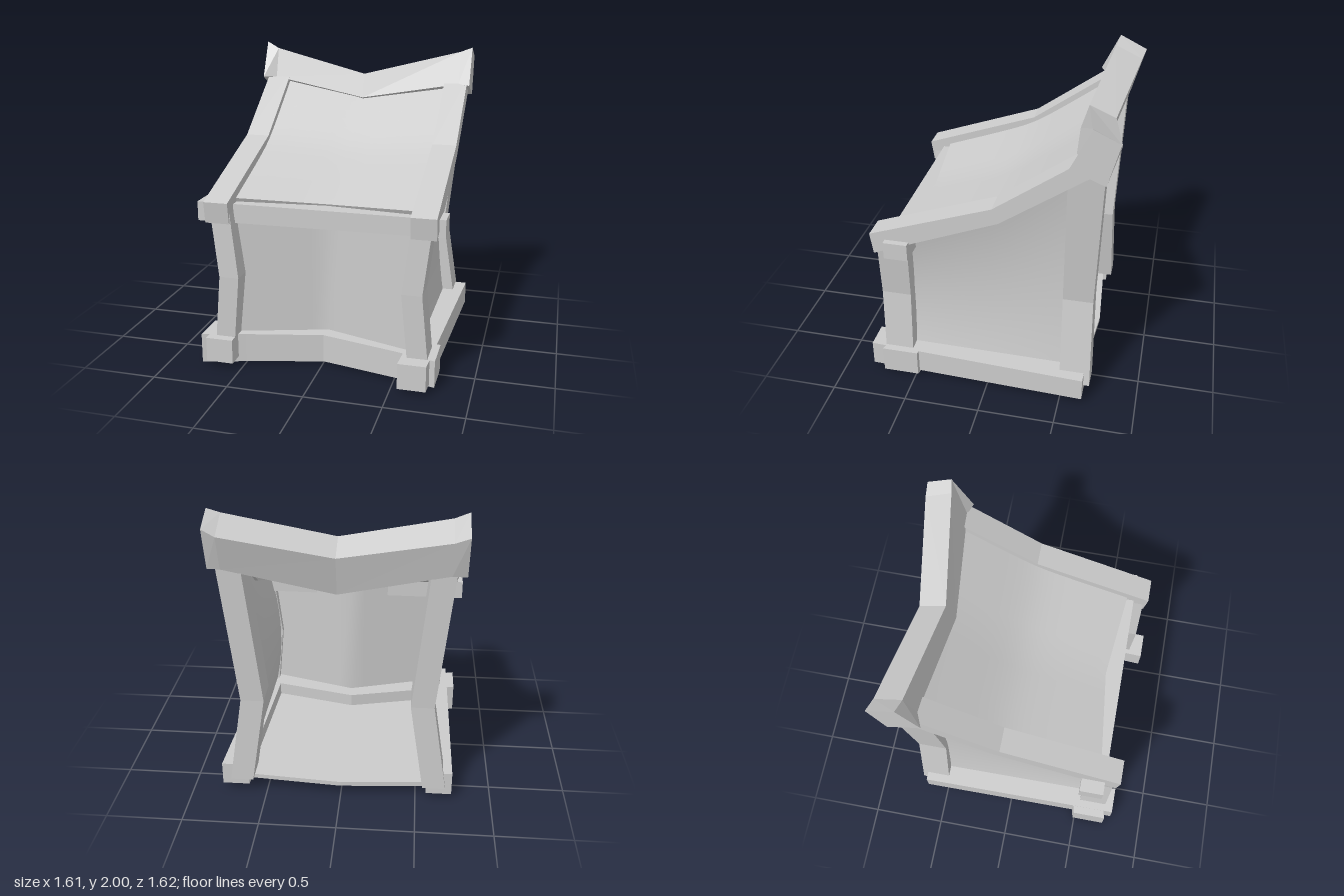
import * as THREE from 'three';

const flat = new THREE.MeshStandardMaterial({ color: 0xcccccc, flatShading: true, side: THREE.DoubleSide });
const smooth = new THREE.MeshStandardMaterial({ color: 0xcccccc, side: THREE.DoubleSide });

function mesh(name, geometry, material) {
  const m = new THREE.Mesh(geometry, material);
  m.name = name;
  return m;
}

// Closed beam through four-cornered cross-sections
function beam(name, sections) {
  const tris = [];
  const quad = (a, b, c, d) => tris.push([a, b, c], [a, c, d]);
  for (let i = 0; i + 1 < sections.length; i++) {
    const s = sections[i], t = sections[i + 1];
    for (let k = 0; k < 4; k++) {
      const n = (k + 1) % 4;
      quad(s[k], s[n], t[n], t[k]);
    }
  }
  quad(...[...sections[0]].reverse());
  quad(...sections[sections.length - 1]);
  // Turn the faces outward whatever the corner order was
  let volume = 0;
  for (const [a, b, c] of tris) {
    const va = new THREE.Vector3(...a), vb = new THREE.Vector3(...b), vc = new THREE.Vector3(...c);
    volume += va.dot(vb.cross(vc));
  }
  if (volume < 0) tris.forEach((t) => t.reverse());
  const g = new THREE.BufferGeometry();
  g.setAttribute('position', new THREE.Float32BufferAttribute(tris.flat(2), 3));
  g.computeVertexNormals();
  return mesh(name, g, flat);
}

// Smooth slab: a box whose vertices are moved by a rule
function slab(name, box, rule) {
  const p = box.attributes.position;
  for (let i = 0; i < p.count; i++) p.setXYZ(i, ...rule(p.getX(i), p.getY(i), p.getZ(i)));
  box.computeVertexNormals();
  return mesh(name, box, smooth);
}

// Rectangular sections across each axis
const atY = (y, x0, x1, z0, z1) => [[x0, y, z0], [x1, y, z0], [x1, y, z1], [x0, y, z1]];
const atX = (x, y0, y1, z0, z1) => [[x, y0, z0], [x, y1, z0], [x, y1, z1], [x, y0, z1]];
const atZ = (z, x0, x1, y0, y1) => [[x0, y0, z], [x1, y0, z], [x1, y1, z], [x0, y1, z]];

// Section from a z-y outline at one x
const profileAt = (x, points) => points.map(([z, y]) => [x, y, z]);

// Rounded version of the rails' top line
function slopeHeight(z) {
  const d = -0.05 - z;
  return 1.39 + 0.547 * d + 0.193 * Math.hypot(d, 0.12);
}

export function createModel() {
  const group = new THREE.Group();
  const add = (...parts) => group.add(...parts);

  // Base beams: bowed front, two sides poking out in front
  add(
    beam('frontBaseBeam', [
      atX(-0.785, 0.0, 0.2, 0.49, 0.72),
      atX(-0.5, 0.003, 0.2, 0.42, 0.645),
      atX(0.0, 0.01, 0.2, 0.3, 0.53),
      atX(0.5, 0.017, 0.2, 0.42, 0.645),
      atX(0.77, 0.02, 0.2, 0.48, 0.72),
    ]),
    beam('leftBaseBeam', [atZ(0.81, 0.55, 0.73, 0.03, 0.2), atZ(-0.65, 0.62, 0.8, 0.045, 0.2)]),
    beam('rightBaseBeam', [atZ(0.77, -0.73, -0.55, 0.04, 0.203), atZ(-0.65, -0.74, -0.57, 0.04, 0.203)]),
  );

  // Posts, pinched inward at mid-height
  for (const [side, outer, inner, back] of [['left', 0.73, 0.6, 0.735], ['right', -0.69, -0.56, -0.695]]) {
    const s = Math.sign(outer);
    add(
      beam(side + 'FrontPost', [
        atY(0.1, outer, inner, 0.52, 0.71),
        atY(0.62, outer - s * 0.05, inner - s * 0.05, 0.525, 0.72),
        atY(1.05, outer, inner, 0.51, 0.71),
      ]),
      beam(side + 'BackPost', [
        atY(0.11, back, back - s * 0.15, -0.69, -0.49),
        atY(0.72, back - s * 0.095, back - s * 0.245, -0.675, -0.48),
        atY(1.67, back, back - s * 0.15, -0.71, -0.495),
      ]),
    );
  }

  // Straight beam under the front of the lid
  add(beam('frontUpperBeam', [atX(-0.805, 0.965, 1.092, 0.485, 0.64), atX(0.8, 0.975, 1.09, 0.485, 0.64)]));

  // Bent rails along both sides of the lid
  const railPath = [
    [[0.74, 1.12], [0.72, 0.98]],
    [[-0.05, 1.4], [-0.09, 1.305]],
    [[-0.6, 1.795], [-0.66, 1.7]],
  ];
  for (const [side, x0, x1] of [['left', 0.6, 0.76], ['right', -0.72, -0.56]]) {
    add(beam(side + 'LidRail', railPath.map(([[zt, yt], [zb, yb]]) =>
      [[x0, yt, zt], [x1, yt, zt], [x1, yb, zb], [x0, yb, zb]])));
  }

  // Lid: slab following the slope, sagging and notched towards the middle
  add(slab('lid', new THREE.BoxGeometry(1.24, 0.035, 1, 8, 1, 16), (x, y, z) => {
    const mid = 1 - Math.abs(x) / 0.62;
    const front = 0.595 - 0.065 * mid;
    const run = -0.58 + (z + 0.5) * (front + 0.58);
    const under = 0.0175 - y;
    return [x + 0.02, slopeHeight(run) - 0.045 - 0.04 * mid - under, run - 0.5 * under];
  }));

  // Front panel, bowed inward
  add(slab('frontPanel', new THREE.BoxGeometry(1.26, 0.95, 0.03, 12, 1, 1), (x, y, z) =>
    [x + 0.01, y + 0.575, z + 0.42 + 0.19 * Math.abs(x) / 0.63]));

  // Side panels under the rails, pinched like the posts
  for (const [side, s, centre] of [['left', 1, 0.645], ['right', -1, -0.605]]) {
    add(slab(side + 'Panel', new THREE.BoxGeometry(0.03, 1, 1.22, 1, 10, 10), (x, y, z) => {
      const top = slopeHeight(z) - 0.08;
      const pinch = 0.065 * (1 - 4 * y * y);
      return [x + centre - s * pinch, 0.1 + (y + 0.5) * (top - 0.1), z];
    }));
  }

  // Floor
  add(beam('floor', [
    atX(-0.65, 0.08, 0.11, -0.62, 0.55),
    atX(0, 0.08, 0.11, -0.67, 0.42),
    atX(0.66, 0.08, 0.11, -0.62, 0.55),
  ]));

  // Tilted crest beam dipping to the middle
  add(beam('crestBeam', [
    profileAt(-0.75, [[-0.62, 2.0], [-0.805, 1.91], [-0.72, 1.64], [-0.5, 1.75]]),
    profileAt(-0.66, [[-0.6, 1.955], [-0.785, 1.87], [-0.725, 1.645], [-0.54, 1.75]]),
    profileAt(0.02, [[-0.515, 1.795], [-0.69, 1.72], [-0.62, 1.46], [-0.465, 1.63]]),
    profileAt(0.7, [[-0.615, 1.96], [-0.79, 1.87], [-0.725, 1.645], [-0.53, 1.74]]),
    profileAt(0.78, [[-0.63, 1.99], [-0.79, 1.915], [-0.72, 1.645], [-0.505, 1.735]]),
  ]));
  return group;
}
